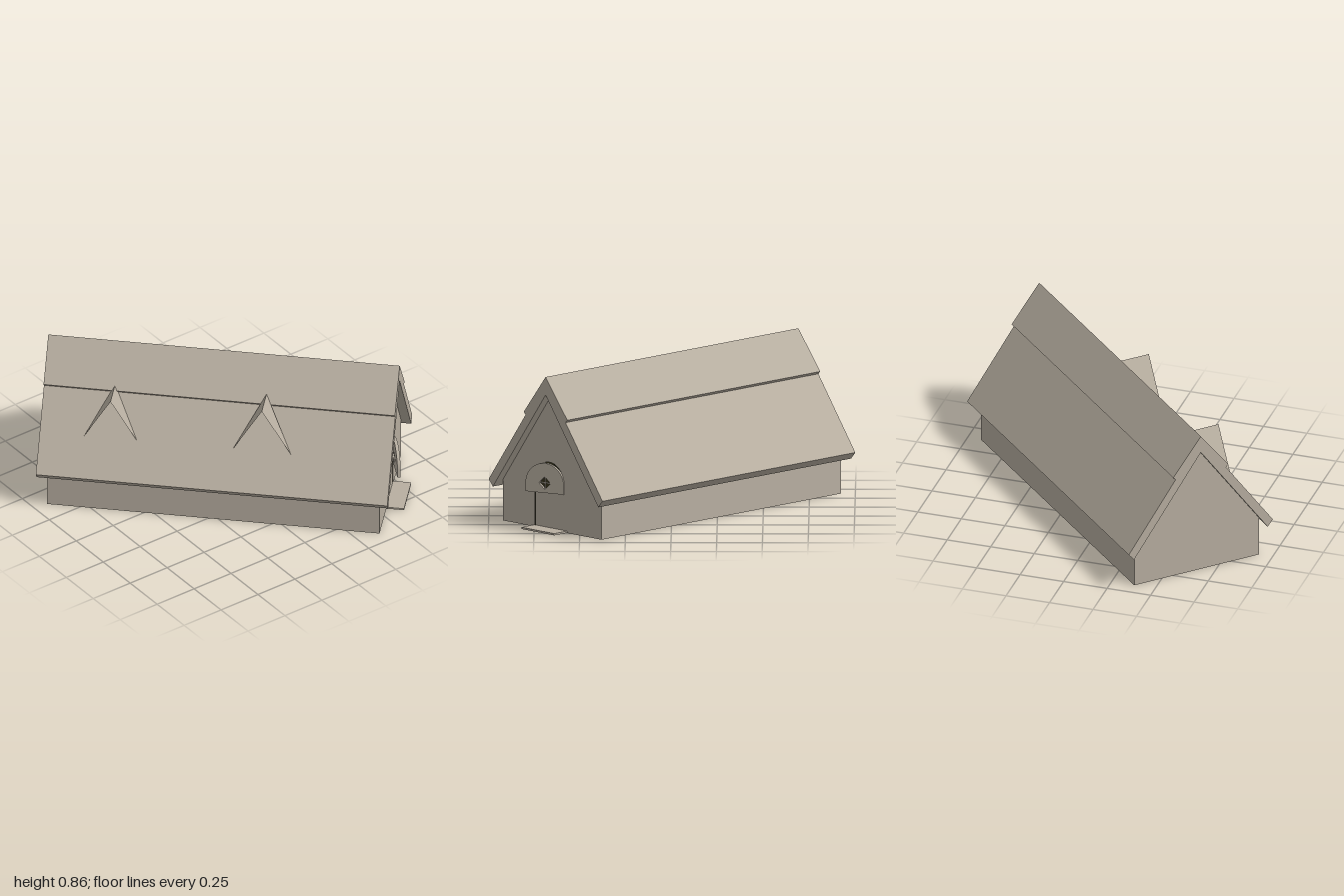
import * as THREE from 'three';

const stone = new THREE.MeshStandardMaterial({ color: 0xb8afa1, side: THREE.DoubleSide });
stone.name = 'warm grey';
const dark = new THREE.MeshStandardMaterial({ color: 0x22200f, side: THREE.DoubleSide });
dark.name = 'dark doorway';

const HALF_W = 0.382, HALF_L = 0.92;             // wall footprint
const DOOR_L = -0.134, DOOR_R = 0.092;           // door opening
const SPLIT = 0.21, SPRING = 0.262;              // half-door split, arch spring line
const RAD = (DOOR_R - DOOR_L) / 2, MID = (DOOR_R + DOOR_L) / 2;

function add(parent, name, geometry, material, x = 0, y = 0, z = 0) {
  const mesh = new THREE.Mesh(geometry, material);
  mesh.name = name;
  mesh.position.set(x, y, z);
  parent.add(mesh);
  return mesh;
}

function polygon(points) {
  return new THREE.Shape(points.map(([x, y]) => new THREE.Vector2(x, y)));
}

// Gable outline, optionally cut by the arched doorway
function gableShape(withDoor) {
  const s = new THREE.Shape();
  s.moveTo(-HALF_W, 0);
  if (withDoor) {
    s.lineTo(DOOR_L, 0);
    s.lineTo(DOOR_L, SPRING);
    s.absarc(MID, SPRING, RAD, Math.PI, 0, true);
    s.lineTo(DOOR_R, 0);
  }
  s.lineTo(HALF_W, 0);
  s.lineTo(HALF_W, 0.24);
  s.lineTo(0, 0.77);
  s.lineTo(-HALF_W, 0.24);
  s.closePath();
  return s;
}

// Open-fronted tent dormer on the -x slope
function dormer(parent, zMid, half, top) {
  const g = new THREE.Group();
  g.name = 'dormer';
  parent.add(g);
  const front = -0.308, base = 0.42, back = -0.138;
  for (const side of [-1, 1]) {
    const a = [front, base, zMid + side * half], b = [front, top, zMid], c = [back, top, zMid];
    const geo = new THREE.BufferGeometry();
    const corners = side > 0 ? [a, c, b] : [a, b, c];
    geo.setAttribute('position', new THREE.Float32BufferAttribute(corners.flat(), 3));
    geo.computeVertexNormals();
    add(g, 'dormerRoofSide', geo, stone);
  }
}

export function createModel() {
  const root = new THREE.Group();
  root.name = 'cottage';
  const house = new THREE.Group();
  house.name = 'house';
  house.rotation.y = Math.PI / 4;
  root.add(house);

  // Walls, open underneath
  add(house, 'frontGable', new THREE.ShapeGeometry(gableShape(true), 20), stone, 0, 0, HALF_L);
  const rear = add(house, 'backGable', new THREE.ShapeGeometry(gableShape(false)), stone, 0, 0, -HALF_L);
  rear.rotation.y = Math.PI;
  for (const side of [-1, 1]) {
    const wall = add(house, 'sideWall', new THREE.PlaneGeometry(2 * HALF_L, 0.24), stone, side * HALF_W, 0.12, 0);
    wall.rotation.y = side * Math.PI / 2;
  }

  // Roof slab with a lapped upper course
  const outer = [[0.442, 0.23], [0.155, 0.628], [0.169, 0.643]];
  const mirrored = outer.map(([x, y]) => [-x, y]).reverse();
  const profile = [[0.41, 0.192], ...outer, [0, 0.86], ...mirrored, [-0.41, 0.192], [0, 0.76]];
  const roof = new THREE.ExtrudeGeometry(polygon(profile), { depth: 1.944, bevelEnabled: false });
  add(house, 'roof', roof, stone, 0, 0, -0.972);

  dormer(house, -0.58, 0.147, 0.665);
  dormer(house, 0.257, 0.162, 0.69);

  // Dark recess behind the doorway, open to the front
  const recess = new THREE.BoxGeometry(0.25, 0.385, 0.155);
  recess.groups.splice(4, 1);
  add(house, 'doorRecess', recess, Array(6).fill(dark), MID, 0.195, HALF_L - 0.08);

  // Lower half door and doorstep
  add(house, 'lowerDoor', new THREE.BoxGeometry(2 * RAD, SPLIT, 0.016), stone, MID, SPLIT / 2, HALF_L - 0.011);
  add(house, 'doorstep', new THREE.BoxGeometry(0.254, 0.01, 0.1), stone, -0.014, 0.005, 0.968);

  // Upper half door, ajar on its hinge
  const hinge = new THREE.Group();
  hinge.name = 'upperDoor';
  hinge.position.set(DOOR_R, 0, HALF_L + 0.004);
  hinge.rotation.y = 0.32;
  house.add(hinge);
  const r = 0.117;
  const leaf = new THREE.Shape();
  leaf.moveTo(-2 * r, SPLIT);
  leaf.lineTo(0, SPLIT);
  leaf.lineTo(0, SPRING - 0.004);
  leaf.absarc(-r, SPRING - 0.004, r, 0, Math.PI, false);
  leaf.closePath();
  const d = 0.036, wy = 0.265;
  leaf.holes.push(polygon([[-r - d, wy], [-r, wy + d], [-r + d, wy], [-r, wy - d]]));
  const leafGeo = new THREE.ExtrudeGeometry(leaf, { depth: 0.018, bevelEnabled: false, curveSegments: 20 });
  add(hinge, 'doorLeaf', leafGeo, stone, 0, 0, -0.018);
  // Crossed bars in the diamond window
  add(hinge, 'windowBar', new THREE.BoxGeometry(2 * d, 0.007, 0.008), stone, -r, wy, -0.009);
  add(hinge, 'windowBar', new THREE.BoxGeometry(0.007, 2 * d, 0.008), stone, -r, wy, -0.009);

  return root;
}
